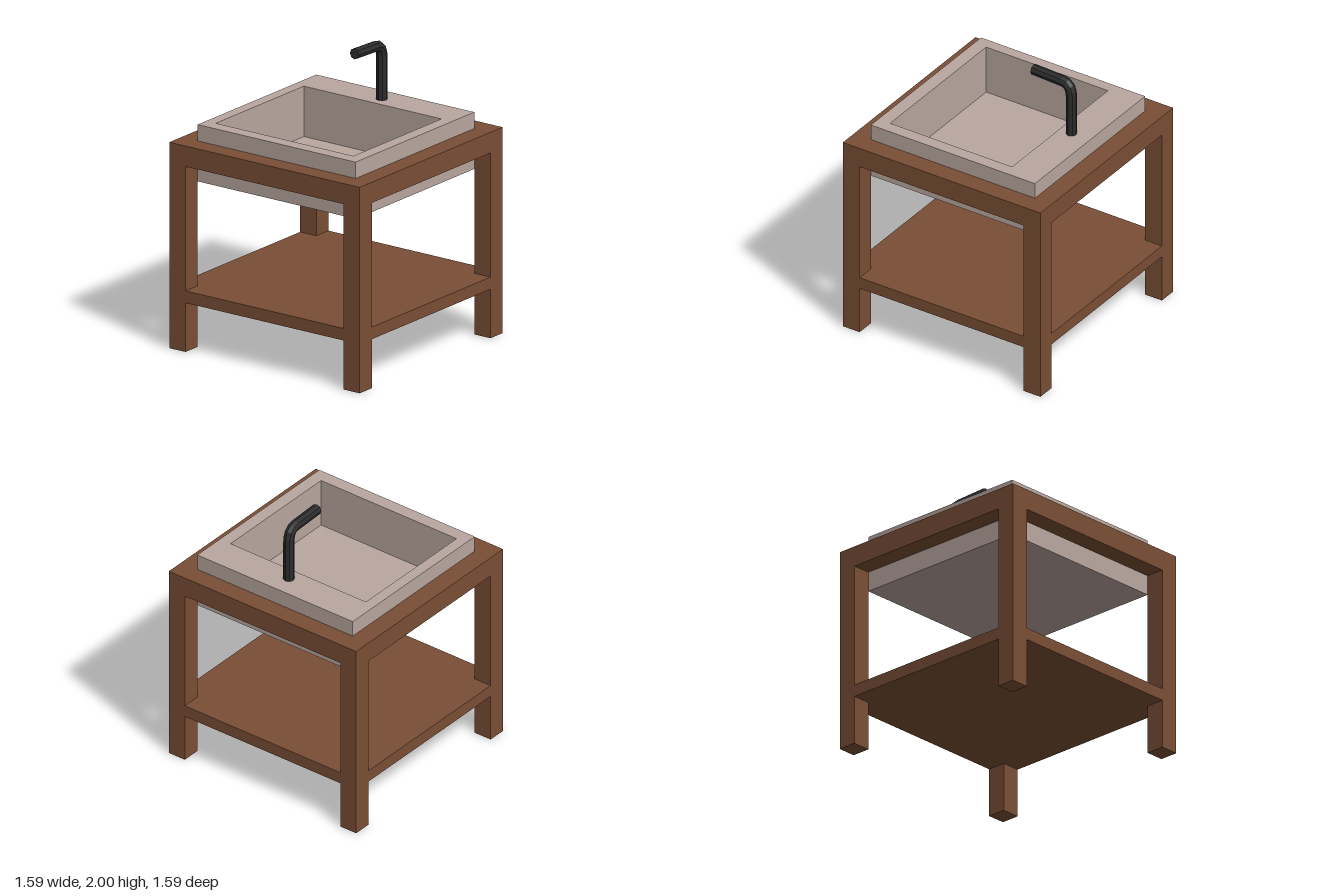
import * as THREE from 'three';

const OUT = 0.795;  // half width of the table
const IN = 0.66;    // half width inside the legs
const BOWL = { x0: -0.565, x1: 0.415, z0: -0.58, z1: 0.57 };
const DRAIN_X = 0.155;

const mat = (color) => new THREE.MeshStandardMaterial({ color, flatShading: true });

function add(group, name, geometry, material) {
  const mesh = new THREE.Mesh(geometry, material);
  mesh.name = name;
  group.add(mesh);
  return mesh;
}

// Rectangle outline in plan (shape y is -z)
function rect(x0, x1, z0, z1, Type = THREE.Shape) {
  return new Type([[x0, -z1], [x1, -z1], [x1, -z0], [x0, -z0]].map(([x, y]) => new THREE.Vector2(x, y)));
}

// Extrude a plan outline upward from y0 to y1
function slab(shape, y0, y1) {
  return new THREE.ExtrudeGeometry(shape, { depth: y1 - y0, bevelEnabled: false })
    .rotateX(-Math.PI / 2).translate(0, y0, 0);
}

// Bowl floor: falls gently from the rectangular edge to a seven-sided drain
function bowlFloor(edgeY, drainY, drainR) {
  const sides = 7, step = (2 * Math.PI) / sides;
  const angles = Array.from({ length: sides }, (_, i) => i * step);
  for (const x of [BOWL.x0, BOWL.x1]) for (const z of [BOWL.z0, BOWL.z1]) {
    angles.push((Math.atan2(z, x - DRAIN_X) + 2 * Math.PI) % (2 * Math.PI));
  }
  angles.sort((a, b) => a - b);
  const pos = [DRAIN_X, drainY, 0], index = [], n = angles.length;
  for (const a of angles) {
    const c = Math.cos(a), s = Math.sin(a);
    const tx = ((c > 0 ? BOWL.x1 : BOWL.x0) - DRAIN_X) / c;
    const tz = Math.abs(s) < 1e-6 ? Infinity : (s > 0 ? BOWL.z1 : BOWL.z0) / s;
    const t = Math.min(tx, tz);
    const r = drainR * Math.cos(step / 2) / Math.cos((a % step) - step / 2);
    pos.push(DRAIN_X + c * r, drainY, s * r, DRAIN_X + c * t, edgeY, s * t);
  }
  for (let i = 0; i < n; i++) {
    const a = 1 + 2 * i, b = 1 + 2 * ((i + 1) % n);
    index.push(0, b, a, a, b, b + 1, a, b + 1, a + 1);
  }
  const g = new THREE.BufferGeometry();
  g.setAttribute('position', new THREE.Float32BufferAttribute(pos, 3));
  g.setIndex(index);
  g.computeVertexNormals();
  return g;
}

export function createModel() {
  const model = new THREE.Group();
  model.name = 'washstand';
  const wood = mat(0x7a4e35), stone = mat(0xb9a79f), metal = mat(0x2b2c2b);

  // Table: four legs, top frame and a shelf notched around the legs
  const table = new THREE.Group();
  table.name = 'table';
  model.add(table);
  const legW = OUT - IN, legC = (OUT + IN) / 2;
  for (const sx of [-1, 1]) for (const sz of [-1, 1]) {
    add(table, 'leg', new THREE.BoxGeometry(legW, 1.305, legW), wood)
      .position.set(sx * legC, 1.305 / 2, sz * legC);
  }
  const frame = rect(-OUT, OUT, -OUT, OUT);
  frame.holes.push(rect(-IN, IN, -IN, IN, THREE.Path));
  add(table, 'topFrame', slab(frame, 1.305, 1.45), wood);

  const notched = [];
  for (let q = 0; q < 4; q++) {
    for (const [x, y] of [[OUT, -IN], [OUT, IN], [IN, IN]]) {
      notched.push(new THREE.Vector2(x, y).rotateAround(new THREE.Vector2(), q * Math.PI / 2));
    }
  }
  add(table, 'shelf', slab(new THREE.Shape(notched), 0.345, 0.43), wood);

  // Basin: walls around an off-centre bowl, closed underneath
  const basin = new THREE.Group();
  basin.name = 'basin';
  model.add(basin);
  const walls = rect(-IN, IN, -IN, IN);
  walls.holes.push(rect(BOWL.x0, BOWL.x1, BOWL.z0, BOWL.z1, THREE.Path));
  add(basin, 'basinWalls', slab(walls, 1.175, 1.565), stone);
  add(basin, 'basinBottom', slab(rect(-IN, IN, -IN, IN), 1.165, 1.175), stone);
  add(basin, 'bowlFloor', bowlFloor(1.21, 1.195, 0.083), stone);

  // Faucet: bent eight-sided pipe
  const faucet = new THREE.Group();
  faucet.name = 'faucet';
  model.add(faucet);
  const p = (x, y) => new THREE.Vector3(x, y, 0);
  const path = new THREE.CurvePath();
  path.add(new THREE.LineCurve3(p(0.51, 1.56), p(0.51, 1.86)));
  path.add(new THREE.QuadraticBezierCurve3(p(0.51, 1.86), p(0.51, 1.952), p(0.44, 1.955)));
  path.add(new THREE.LineCurve3(p(0.44, 1.955), p(0.205, 1.964)));
  add(faucet, 'faucetPipe', new THREE.TubeGeometry(path, 20, 0.038, 8), metal);
  const cap = add(faucet, 'faucetEnd', new THREE.CircleGeometry(0.038, 8), metal);
  cap.position.copy(p(0.205, 1.964));
  cap.lookAt(p(-0.03, 1.973));

  return model;
}
